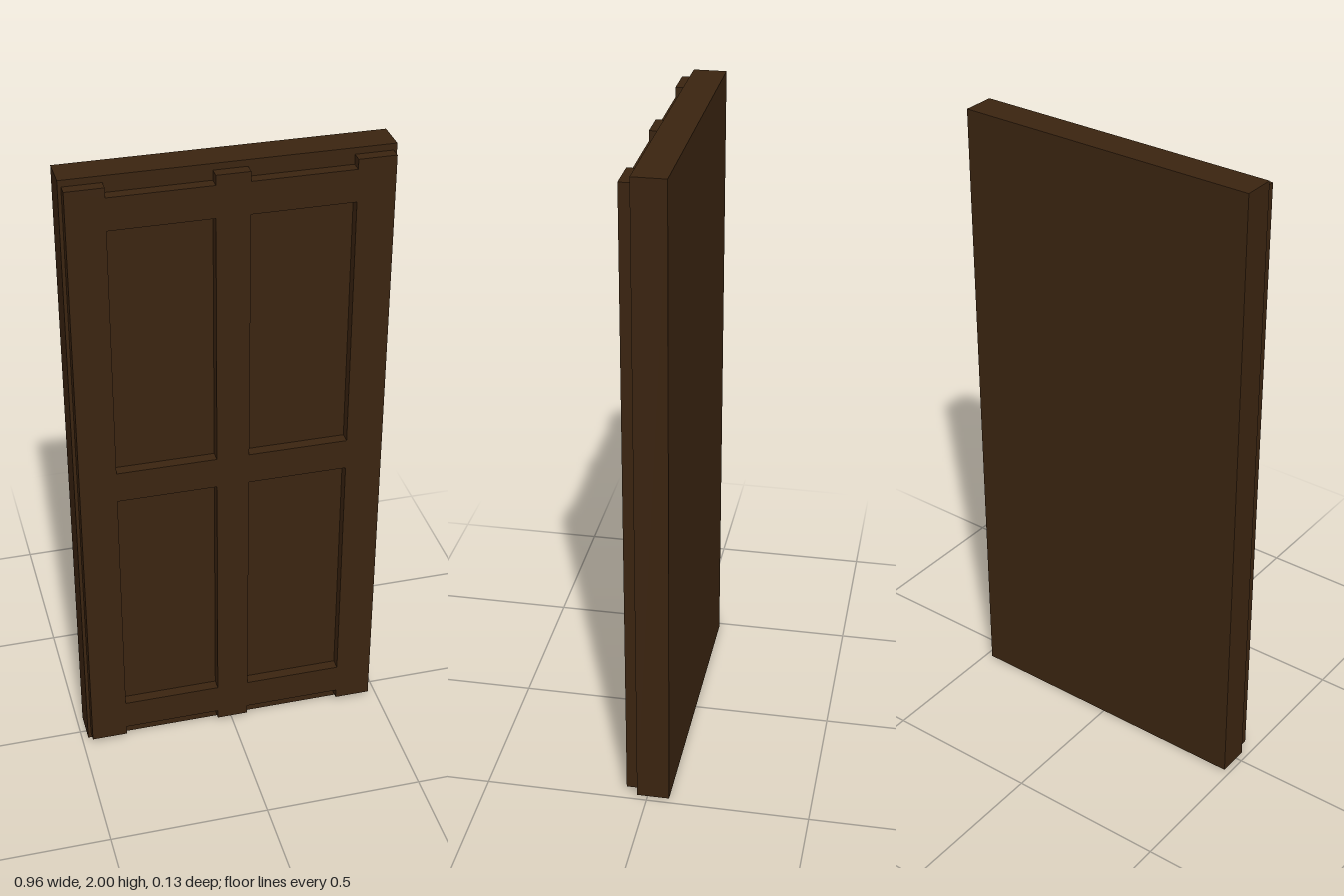
import * as THREE from 'three';

export function createModel() {
  const group = new THREE.Group();
  group.name = 'door';
  const darkWood = new THREE.MeshStandardMaterial({ color: 0x3a2410 });
  darkWood.name = 'darkWood';

  // Solid backing slab
  const slab = new THREE.Mesh(new THREE.BoxGeometry(0.96, 2, 0.1), darkWood);
  slab.name = 'doorSlab';
  slab.position.set(0, 1, -0.017);
  group.add(slab);

  // Raised frame outline: stiles run past the top and bottom rails
  const outer = 0.47, inner = 0.357, mid = 0.05;
  const stileEnd = [0.02, 1.98], railEnd = [0.05, 1.95];
  const edge = (i) => [
    [-outer, stileEnd[i]], [-inner, stileEnd[i]], [-inner, railEnd[i]],
    [-mid, railEnd[i]], [-mid, stileEnd[i]], [mid, stileEnd[i]],
    [mid, railEnd[i]], [inner, railEnd[i]], [inner, stileEnd[i]], [outer, stileEnd[i]],
  ];
  const toPoints = (list) => list.map(([x, y]) => new THREE.Vector2(x, y));
  const shape = new THREE.Shape(toPoints([...edge(0), ...edge(1).reverse()]));

  // Four recessed panel openings
  for (const [x0, x1] of [[-inner, -mid], [mid, inner]]) {
    for (const [y0, y1] of [[0.15, 0.95], [1.05, 1.85]]) {
      shape.holes.push(new THREE.Path(toPoints([[x0, y0], [x0, y1], [x1, y1], [x1, y0]])));
    }
  }
  const frame = new THREE.Mesh(
    new THREE.ExtrudeGeometry(shape, { depth: 0.034, bevelEnabled: false }), darkWood);
  frame.name = 'panelFrame';
  frame.position.z = 0.033;
  group.add(frame);

  return group;
}
